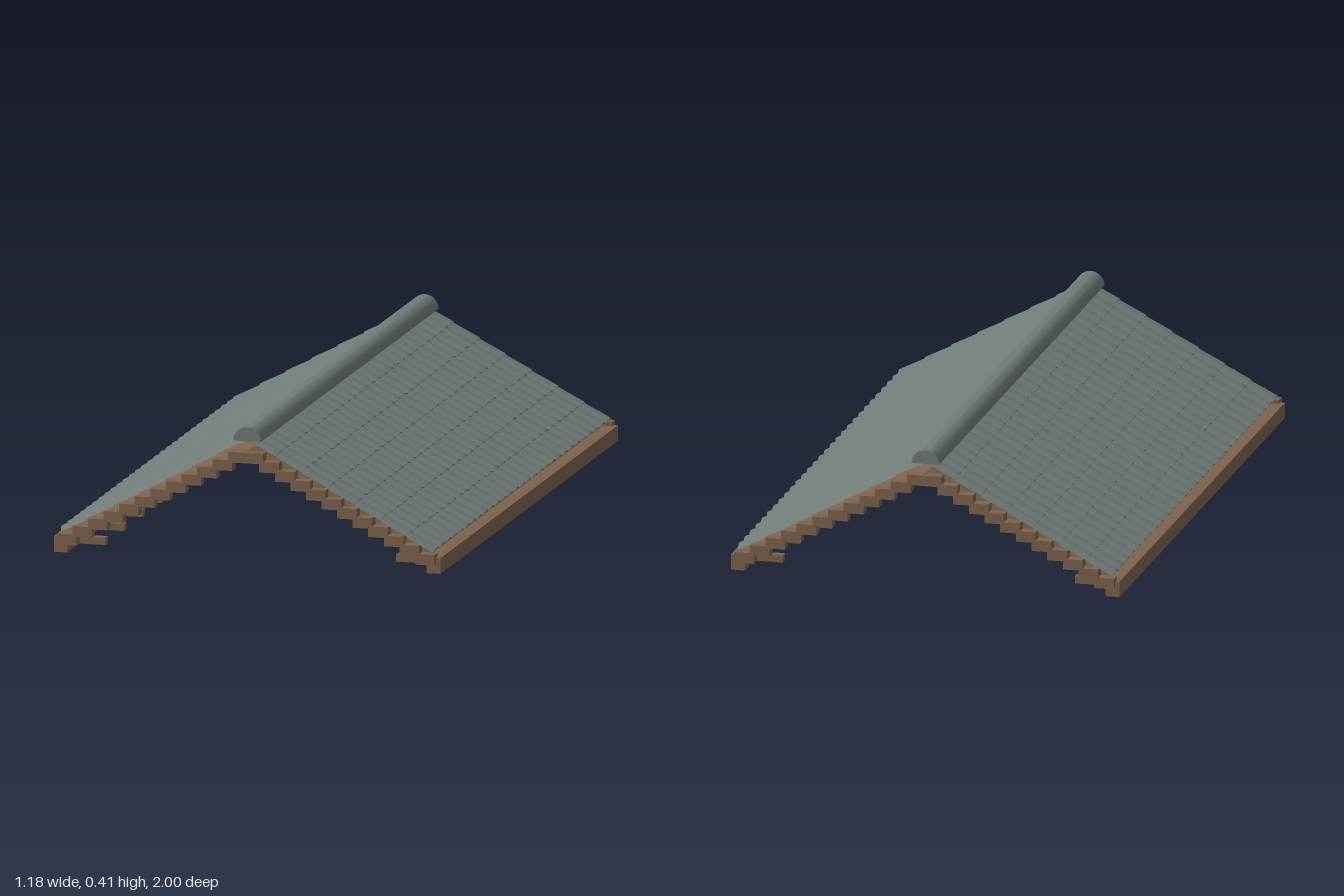
import * as THREE from 'three';
import { mergeGeometries, toCreasedNormals } from 'three/addons/utils/BufferGeometryUtils.js';

const HALF = 0.985;            // half length of the roof along z
const COLS = 29, ROWS = 7;     // tiles per slope
const PITCH = Math.atan(0.548);

// Arched tile: thin curved shell, extruded along +z
function tileGeometry(width, length) {
  const arc = (half, rise) => {
    const pts = [];
    for (let i = 0; i <= 8; i++) {
      const t = -1 + i / 4;
      pts.push(new THREE.Vector2(t * half, rise * (1 - t * t)));
    }
    return pts;
  };
  const outline = [...arc(width / 2, 0.013), ...arc(width / 2 - 0.005, 0.008).reverse()];
  const geo = new THREE.ExtrudeGeometry(new THREE.Shape(outline), { depth: length, bevelEnabled: false });
  geo.rotateX(-0.04); // lower end lifts over the next row
  return toCreasedNormals(geo, 0.6);
}

export function createModel() {
  const slate = new THREE.MeshStandardMaterial({ color: 0x6f7a77 });
  slate.name = 'slate grey';
  const wood = new THREE.MeshStandardMaterial({ color: 0x7c634f });
  wood.name = 'brown wood';

  const roof = new THREE.Group();
  roof.name = 'roof';

  const box = (parent, name, size, pos) => {
    const mesh = new THREE.Mesh(new THREE.BoxGeometry(...size), wood);
    mesh.name = name;
    mesh.position.set(...pos);
    parent.add(mesh);
    return mesh;
  };

  // All tiles of one slope, laid in rows and columns
  const colWidth = (2 * HALF) / COLS;
  const startX = 0.008, endX = 0.568;
  const rowLength = (endX - startX) / Math.cos(PITCH) / ROWS;
  const tile = tileGeometry(colWidth, rowLength);
  const down = new THREE.Vector3(Math.cos(PITCH), -Math.sin(PITCH), 0);
  const up = new THREE.Vector3(Math.sin(PITCH), Math.cos(PITCH), 0);
  const basis = new THREE.Matrix4().makeBasis(new THREE.Vector3(0, 0, -1), up, down);
  const tiles = [];
  for (let r = 0; r < ROWS; r++) {
    for (let c = 0; c < COLS; c++) {
      const p = down.clone().multiplyScalar(r * rowLength);
      const m = basis.clone().setPosition(startX + p.x, 0.371 - 0.548 * startX + p.y, -HALF + (c + 0.5) * colWidth);
      tiles.push(tile.clone().applyMatrix4(m));
    }
  }
  const slopeTiles = mergeGeometries(tiles);

  // Each slope: the second is the first turned half way round
  for (const name of ['leftSlope', 'rightSlope']) {
    const side = new THREE.Group();
    side.name = name;
    if (name === 'rightSlope') side.rotation.y = Math.PI;

    const tileMesh = new THREE.Mesh(slopeTiles, slate);
    tileMesh.name = 'roofTiles';
    side.add(tileMesh);

    // Sloping deck under the tiles
    const deckShape = new THREE.Shape([[0, 0.326], [0.57, 0.026], [0.57, 0.037], [0, 0.337]]
      .map(([x, y]) => new THREE.Vector2(x, y)));
    const deck = new THREE.Mesh(
      new THREE.ExtrudeGeometry(deckShape, { depth: 2 * HALF, bevelEnabled: false }), wood);
    deck.name = 'deck';
    deck.position.z = -HALF;
    side.add(deck);

    // Stepped gable blocks at both ends
    for (const end of [-1, 1])
      for (let i = 0; i < 12; i++)
        box(side, 'gableBlock', [0.06, 0.032, 0.035], [0.0238 + 0.0477 * i, 0.319 - 0.0251 * i, end * 0.9825]);

    // Eave board and rafter tails
    box(side, 'eaveBoard', [0.042, 0.047, 2 * HALF], [0.571, 0.0235, 0]);
    for (let i = 0; i < 10; i++)
      box(side, 'rafterTail', [0.12, 0.022, 0.025], [0.505, 0.031, -0.93 + (i * 1.86) / 9]);

    roof.add(side);
  }

  // Half round ridge cap with a flat underside
  const cap = new THREE.Shape();
  cap.absarc(0, 0, 0.042, 0, Math.PI, false);
  cap.closePath();
  const ridge = new THREE.Mesh(toCreasedNormals(
    new THREE.ExtrudeGeometry(cap, { depth: 2 * HALF, bevelEnabled: false, curveSegments: 16 }), 0.6), slate);
  ridge.name = 'ridgeCap';
  ridge.position.set(0, 0.367, -HALF);
  roof.add(ridge);

  return roof;
}
